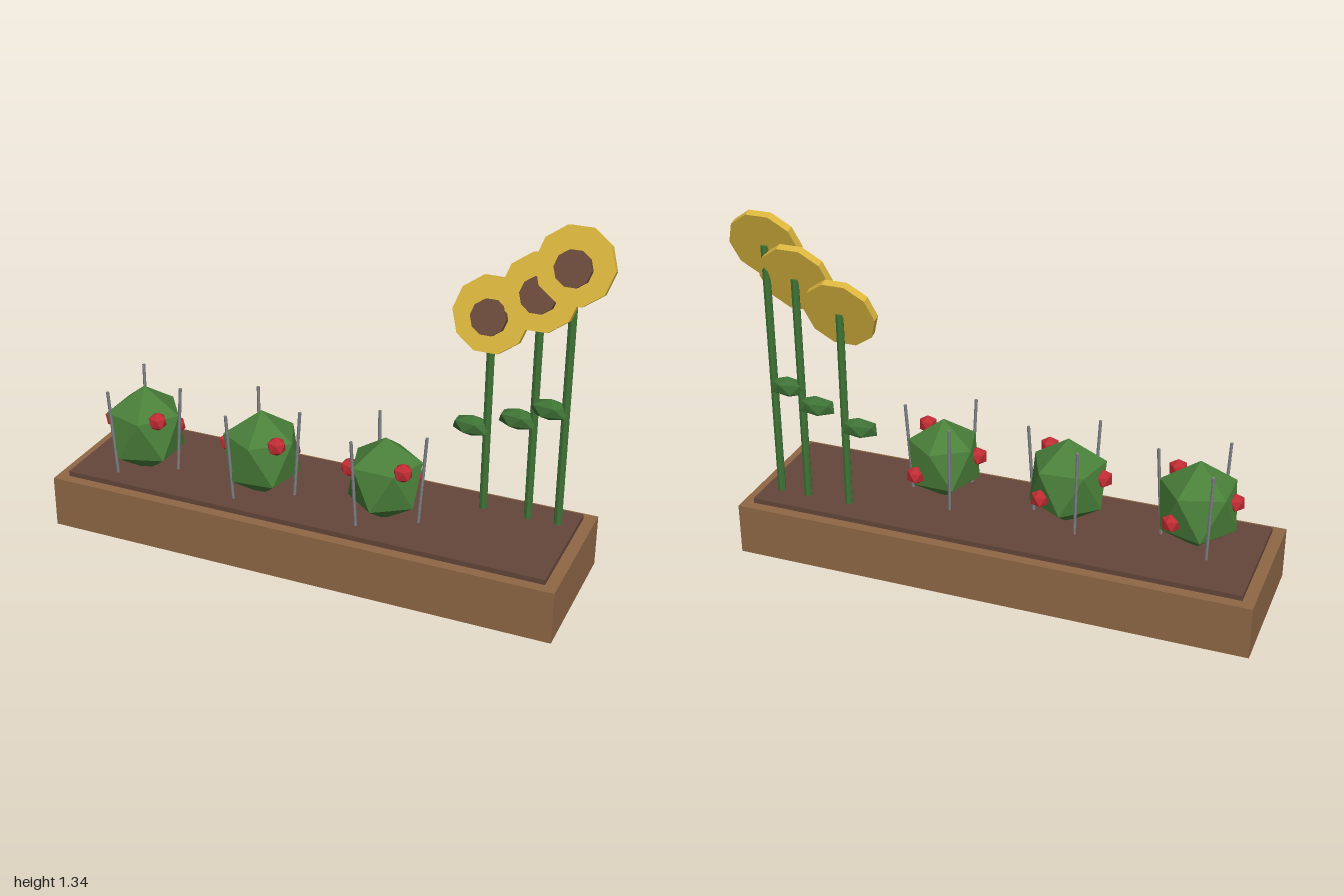
import * as THREE from 'three';

const mat = (name, color) => {
  const m = new THREE.MeshStandardMaterial({ color, flatShading: true });
  m.name = name;
  return m;
};

export function createModel() {
  const wood = mat('wood', 0x8f6846);
  const soil = mat('soil', 0x64463a);
  const bushGreen = mat('bush green', 0x4a803a);
  const stemGreen = mat('stem green', 0x3f7336);
  const red = mat('berry red', 0xbf2c33);
  const metal = mat('stake grey', 0x7d8084);
  const yellow = mat('petal yellow', 0xdcb73e);
  const seedBrown = mat('seed brown', 0x6d4c3b);

  const model = new THREE.Group();
  model.name = 'planterGarden';

  const add = (parent, name, geometry, material, x, y, z) => {
    const mesh = new THREE.Mesh(geometry, material);
    mesh.name = name;
    mesh.position.set(x, y, z);
    parent.add(mesh);
    return mesh;
  };
  const group = (name, x, z) => {
    const g = new THREE.Group();
    g.name = name;
    g.position.set(x, 0, z);
    model.add(g);
    return g;
  };
  // Icosahedron standing on a vertex, with an upper ring vertex towards +x
  const ico = (r) => new THREE.IcosahedronGeometry(r, 0)
    .rotateZ(-Math.atan(2 / (1 + Math.sqrt(5))));

  // Planter box and soil bed
  add(model, 'planterBox', new THREE.BoxGeometry(1.97, 0.2, 0.56), wood, -0.015, 0.1, 0);
  add(model, 'soilBed', new THREE.BoxGeometry(1.88, 0.04, 0.48), soil, -0.015, 0.2, 0);

  // Berry bushes, each ringed by three stakes leaning outwards
  const up = new THREE.Vector3(0, 1, 0);
  const bushes = [
    { x: -0.715, r: 0.161, turn: 0 },
    { x: -0.225, r: 0.158, turn: -0.22 },
    { x: 0.265, r: 0.15, turn: 0.28 },
  ];
  const berries = [[-0.13, 0.395, 0.015], [0.1, 0.455, 0.083], [0.068, 0.342, -0.115]];
  for (const { x, r, turn } of bushes) {
    const plant = group('berryBush', x, 0.055);
    const leaves = add(plant, 'bushFoliage', ico(r), bushGreen, 0, 0.37, 0);
    leaves.scale.y = 1.1;
    leaves.rotation.y = turn;
    for (const [bx, by, bz] of berries) add(plant, 'berry', ico(0.037), red, bx, by, bz);
    for (let i = 0; i < 3; i++) {
      const a = (i * Math.PI * 2) / 3;
      const foot = new THREE.Vector3(Math.cos(a) * 0.13, 0.2, Math.sin(a) * 0.13);
      const tip = new THREE.Vector3(Math.cos(a) * 0.155, 0.565, Math.sin(a) * 0.155);
      const dir = tip.clone().sub(foot);
      const mid = foot.clone().add(tip).multiplyScalar(0.5);
      const stake = add(plant, 'stake',
        new THREE.CylinderGeometry(0.006, 0.006, dir.length(), 6), metal, mid.x, mid.y, mid.z);
      stake.quaternion.setFromUnitVectors(up, dir.normalize());
    }
  }

  // Sunflowers: stem, one leaf, tilted petal disc and seed disc
  const tilt = 0.3;
  const disc = (r, h) => new THREE.CylinderGeometry(r, r, h, 10)
    .rotateY(Math.PI / 10)
    .rotateX(Math.PI / 2 - tilt);
  const flowers = [[0.575, 0.99, 0.545], [0.745, 1.1, 0.605], [0.857, 1.213, 0.665]];
  for (const [x, headY, leafY] of flowers) {
    const flower = group('sunflower', x, -0.14);
    const h = headY - 0.2;
    add(flower, 'stem', new THREE.CylinderGeometry(0.015, 0.015, h, 8), stemGreen, 0, 0.2 + h / 2, 0);
    add(flower, 'leaf', ico(0.08), stemGreen, -0.057, leafY, 0).scale.set(1, 0.52, 0.5);
    add(flower, 'petalDisc', disc(0.139, 0.03), yellow, 0, headY, 0.011);
    add(flower, 'seedDisc', disc(0.065, 0.03), seedBrown, 0, headY, 0.04);
  }

  return model;
}
